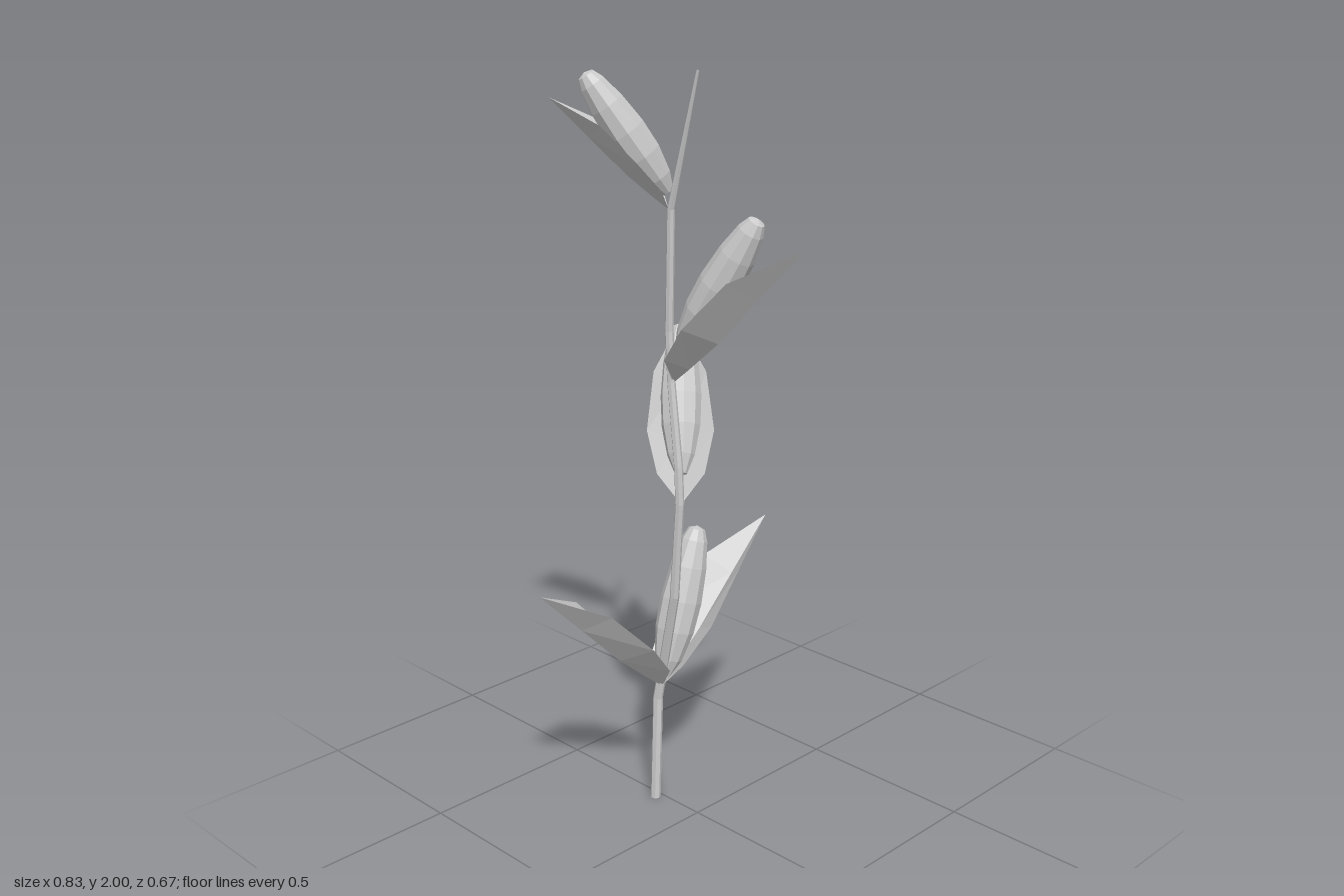
import * as THREE from 'three';

const grey = new THREE.MeshStandardMaterial({ color: 0xcccccc, flatShading: true });
const leafMaterial = new THREE.MeshStandardMaterial({ color: 0xcccccc, flatShading: true, side: THREE.DoubleSide });

const UP = new THREE.Vector3(0, 1, 0);
const vec = (p) => new THREE.Vector3(...p);

function named(name, geometry, material) {
  const mesh = new THREE.Mesh(geometry, material);
  mesh.name = name;
  return mesh;
}

// Kinked, tapering stem: each ring of a cylinder is moved onto a path point [x, y, z, radius]
function createStem() {
  const path = [
    [-0.02, 0, -0.145, 0.014], [-0.003, 0.3, -0.15, 0.014], [0, 0.35, -0.142, 0.014],
    [-0.018, 0.63, -0.068, 0.013], [-0.02, 0.9, -0.045, 0.012], [-0.019, 1.0, -0.05, 0.012],
    [-0.014, 1.22, -0.08, 0.011], [-0.012, 1.35, -0.088, 0.011],
    [-0.017, 1.66, -0.075, 0.01], [-0.024, 2, 0.025, 0.004],
  ];
  const rows = path.length - 1;
  const geometry = new THREE.CylinderGeometry(1, 1, rows, 7, rows);
  const pos = geometry.attributes.position;
  for (let i = 0; i < pos.count; i++) {
    const [x, y, z, r] = path[Math.round(pos.getY(i) + rows / 2)];
    pos.setXYZ(i, x + pos.getX(i) * r, y, z + pos.getZ(i) * r);
  }
  geometry.computeVertexNormals();
  return named('stem', geometry, grey);
}

// Pointed leaf folded along its midrib; sections are [t, halfWidth, edgeLift, midribLift]
function createLeaf(name, base, tip, scale) {
  const sections = [
    [0, 0.004, 0, 0], [0.12, 0.062, 0.036, -0.006], [0.34, 0.088, 0.05, -0.012],
    [0.66, 0.07, 0.056, -0.006], [1, 0, 0, 0],
  ];
  const start = vec(base);
  const axis = vec(tip).sub(start);
  const side = new THREE.Vector3().crossVectors(axis, UP).normalize();
  const lift = new THREE.Vector3().crossVectors(side, axis).normalize();
  const points = [];
  for (const [t, width, edge, rib] of sections) {
    for (const s of [-1, 0, 1]) {
      const p = start.clone().addScaledVector(axis, t)
        .addScaledVector(side, s * width * scale)
        .addScaledVector(lift, (s ? edge : rib) * scale);
      points.push(p.x, p.y, p.z);
    }
  }
  const index = [];
  for (let i = 0; i < sections.length - 1; i++) {
    for (let j = 0; j < 2; j++) {
      const a = i * 3 + j;
      index.push(a, a + 1, a + 4, a, a + 4, a + 3);
    }
  }
  const geometry = new THREE.BufferGeometry();
  geometry.setAttribute('position', new THREE.Float32BufferAttribute(points, 3));
  geometry.setIndex(index);
  geometry.computeVertexNormals();
  return named(name, geometry, leafMaterial);
}

// Closed bud: a blunt spindle turned around the line from base to tip
function createBud(name, base, tip, girth) {
  const start = vec(base);
  const axis = vec(tip).sub(start);
  const length = axis.length();
  const profile = [
    [0, 0], [0.016, 0.01], [0.036, 0.13], [0.051, 0.32], [0.054, 0.52],
    [0.047, 0.74], [0.034, 0.91], [0.022, 0.98], [0, 1],
  ].map(([r, t]) => new THREE.Vector2(r * girth, t * length));
  const bud = named(name, new THREE.LatheGeometry(profile, 10), grey);
  bud.position.copy(start);
  bud.quaternion.setFromUnitVectors(UP, axis.normalize());
  return bud;
}

export function createModel() {
  const group = new THREE.Group();
  group.name = 'floweringStalk';
  group.add(createStem());

  // Leaves: a pair at the lowest node, then one at each node up the stem
  const leaves = [
    ['lowerLeftLeaf', [0, 0.34, -0.14], [0.412, 0.73, -0.137], 1],
    ['lowerRightLeaf', [0, 0.34, -0.14], [-0.415, 0.73, -0.146], 1],
    ['middleLeaf', [-0.01, 0.9, -0.05], [0.27, 1.275, -0.338], 1],
    ['frontLeaf', [-0.01, 1.22, -0.075], [0.012, 1.612, 0.335], 1],
    ['topLeaf', [-0.02, 1.66, -0.08], [-0.225, 1.93, -0.28], 0.72],
  ];
  for (const leaf of leaves) group.add(createLeaf(...leaf));

  // Buds: one standing in the fold of a leaf at every node
  const buds = [
    ['lowerBud', [0.01, 0.36, -0.14], [0.142, 0.77, -0.14], 1.05],
    ['middleBud', [0.0, 0.97, -0.06], [0.15, 1.32, -0.21], 1],
    ['frontBud', [-0.008, 1.3, -0.055], [0.06, 1.655, 0.145], 1],
    ['topBud', [-0.018, 1.7, -0.08], [-0.18, 1.99, -0.2], 0.95],
  ];
  for (const bud of buds) group.add(createBud(...bud));

  return group;
}
